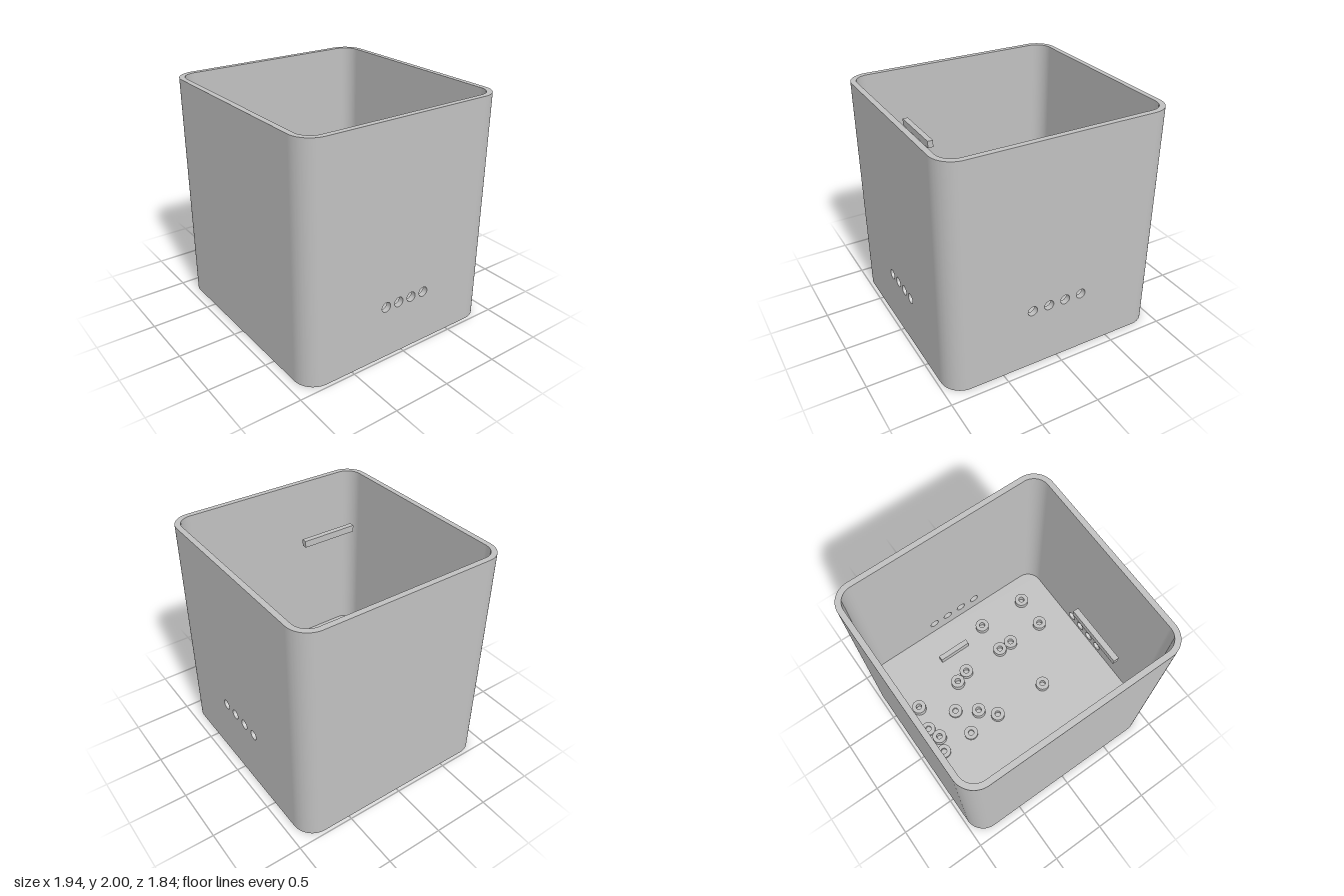
import * as THREE from 'three';
import { toCreasedNormals } from 'three/addons/utils/BufferGeometryUtils.js';

const HX = 0.97, HZ = 0.92, H = 2, WALL = 0.047, R = 0.18;
const FLOOR_Y = 0.35, FLOOR_TOP = 0.397;

export function createModel() {
  const model = new THREE.Group();
  const grey = new THREE.MeshStandardMaterial({ color: 0xc0c0c0 });
  grey.name = 'grey plastic';

  const add = (name, geo, parent = model) => {
    const mesh = new THREE.Mesh(geo, grey);
    mesh.name = name;
    parent.add(mesh);
    return mesh;
  };
  const extrude = (shape, depth) => toCreasedNormals(
    new THREE.ExtrudeGeometry(shape, { depth, bevelEnabled: false, curveSegments: 16 }), 0.6);
  // extrude a plan shape upwards from height y
  const upright = (shape, y, height) => extrude(shape, height).rotateX(-Math.PI / 2).translate(0, y, 0);
  const circle = (path, x, y, r) => path.absarc(x, y, r, 0, Math.PI * 2, false);

  // flat wall panels, with a row of round holes where wanted
  const wall = (name, half, dist, angle, holes = [], holeY = 0) => {
    const s = new THREE.Shape();
    s.moveTo(-half, 0).lineTo(half, 0).lineTo(half, H).lineTo(-half, H).closePath();
    for (const x of holes) s.holes.push(circle(new THREE.Path(), x, holeY, 0.043));
    add(name, extrude(s, WALL).translate(0, 0, dist - WALL).rotateY(angle));
  };
  wall('frontWall', HX - R, HZ, 0);
  wall('leftWall', HZ - R, HX, -Math.PI / 2);
  wall('rightWall', HZ - R, HX, Math.PI / 2, [-0.172, -0.045, 0.083, 0.21], 0.47);
  wall('backWall', HX - R, HZ, Math.PI, [-0.24, -0.09, 0.06, 0.21], 0.55);

  // rounded corners
  [[1, 1], [-1, 1], [-1, -1], [1, -1]].forEach(([sx, sy], i) => {
    const s = new THREE.Shape();
    const cx = sx * (HX - R), cy = sy * (HZ - R), a = i * Math.PI / 2;
    s.absarc(cx, cy, R, a, a + Math.PI / 2, false);
    s.absarc(cx, cy, R - WALL, a + Math.PI / 2, a, true);
    s.closePath();
    add('wallCorner' + (i + 1), upright(s, 0, H));
  });

  // raised floor, its edge sunk slightly into the walls
  const floor = new THREE.Shape();
  const inset = WALL - 0.005, r = R - inset;
  [[1, 1], [-1, 1], [-1, -1], [1, -1]].forEach(([sx, sy], i) => {
    const a = i * Math.PI / 2;
    floor.absarc(sx * (HX - R), sy * (HZ - R), r, a, a + Math.PI / 2, false);
  });
  floor.closePath();
  add('floor', upright(floor, FLOOR_Y, FLOOR_TOP - FLOOR_Y));

  // hollow mounting posts in four rectangular sets: x pair, z pair, top
  const sets = [
    [[0.17, 0.635], [-0.64, -0.345], 0.45],
    [[-0.77, -0.34], [-0.30, 0.04], 0.467],
    [[-0.81, -0.513], [-0.087, 0.168], 0.425],
    [[-0.215, 0.295], [-0.345, 0.168], 0.45],
  ];
  sets.forEach(([xs, zs, top], i) => {
    const group = new THREE.Group();
    group.name = 'mountingPosts' + (i + 1);
    model.add(group);
    for (const x of xs) for (const z of zs) {
      const s = circle(new THREE.Shape(), 0, 0, 0.062);
      s.holes.push(circle(new THREE.Path(), 0, 0, 0.026));
      add('post', upright(s, FLOOR_TOP - 0.005, top - FLOOR_TOP + 0.005), group).position.set(x, 0, z);
    }
  });

  // support bars
  add('upperBar', new THREE.BoxGeometry(0.047, 0.06, 0.51)).position.set(0.575, 1.625, 0.38);
  add('floorBar', new THREE.BoxGeometry(0.3, 0.07, 0.047)).position.set(-0.195, FLOOR_TOP + 0.03, -0.582);

  return model;
}
